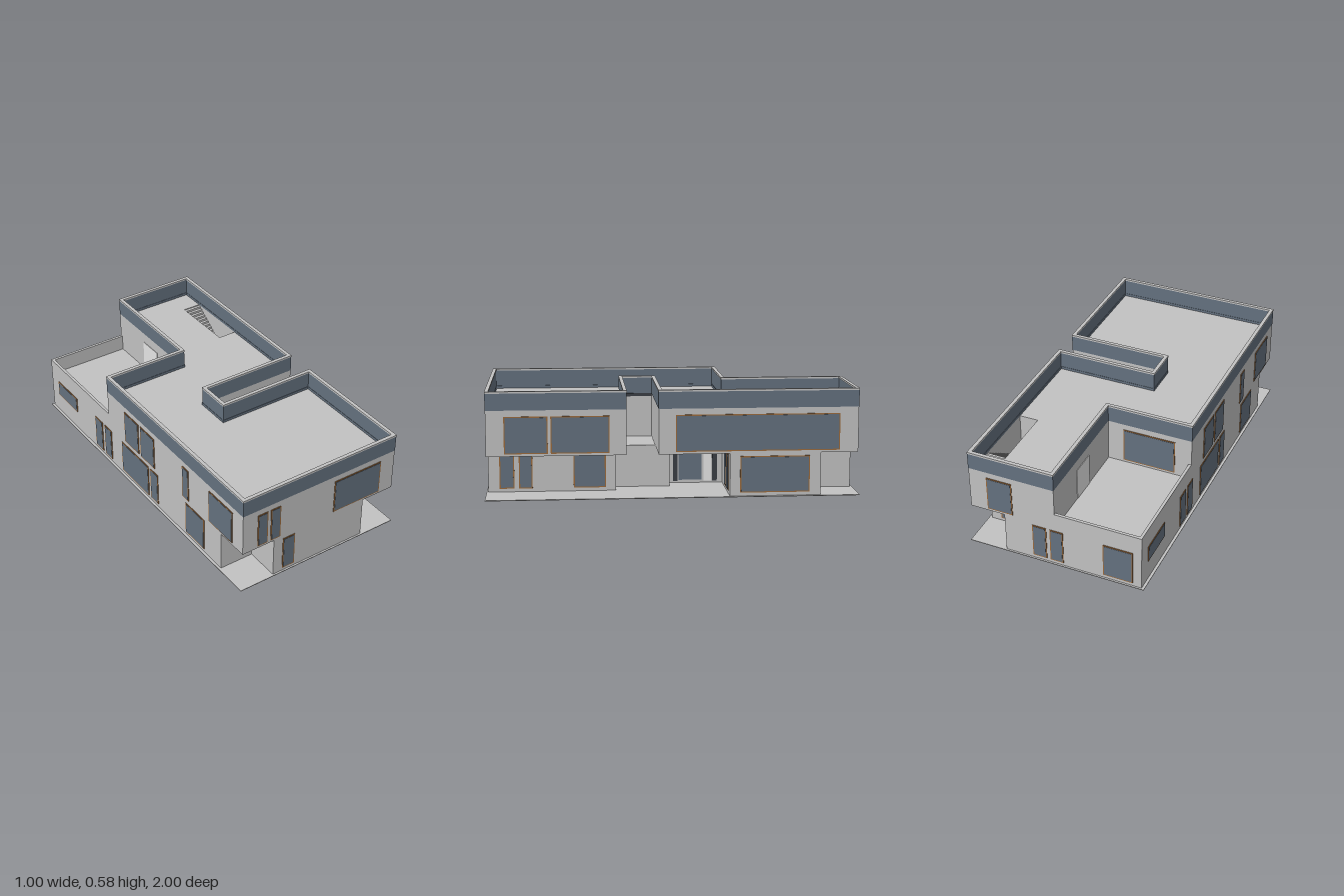
import * as THREE from 'three';

const mat = (name, color) => {
  const m = new THREE.MeshStandardMaterial({ color });
  m.name = name;
  return m;
};

export function createModel() {
  const wall = mat('wallGrey', 0xc2c2c2);
  const slate = mat('slateBlue', 0x64717f);
  const wood = mat('frameBrown', 0x9a6a3c);
  const dark = mat('darkGrey', 0x3a3e44);
  const pale = mat('paleGrey', 0xe6e6e6);

  const house = new THREE.Group();
  house.name = 'house';

  const add = (name, geometry, material) => {
    const mesh = new THREE.Mesh(geometry, material);
    mesh.name = name;
    house.add(mesh);
    return mesh;
  };

  // Box given by its limits on each axis
  const box = (name, material, x0, x1, y0, y1, z0, z1) =>
    add(name, new THREE.BoxGeometry(x1 - x0, y1 - y0, z1 - z0), material)
      .position.set((x0 + x1) / 2, (y0 + y1) / 2, (z0 + z1) / 2);

  // Vertical prism over a plan of [x, z] corners, with optional holes
  const toPoints = (plan) => plan.map(([x, z]) => new THREE.Vector2(x, -z));
  const prism = (name, material, plan, y0, y1, holes = []) => {
    const shape = new THREE.Shape(toPoints(plan));
    holes.forEach((h) => shape.holes.push(new THREE.Path(toPoints(h))));
    const g = new THREE.ExtrudeGeometry(shape, { depth: y1 - y0, bevelEnabled: false });
    g.rotateX(-Math.PI / 2).translate(0, y0, 0);
    return add(name, g, material);
  };

  // Moves every edge of a right-angled plan inwards by d
  const inset = (plan, d) => plan.map((p, i) => {
    const n = plan.length;
    const a = plan[(i + n - 1) % n], b = plan[(i + 1) % n];
    const dir = (s, e) => [Math.sign(e[0] - s[0]), Math.sign(e[1] - s[1])];
    const u = dir(a, p), v = dir(p, b);
    return [p[0] + d * (u[1] + v[1]), p[1] - d * (u[0] + v[0])];
  });

  // Ground plate
  box('groundPlate', wall, -0.5, 0.5, 0, 0.004, -1, 1);

  // Ground floor, cut back at three corners and at the entrance
  const lower = [
    [-0.29, 0.99], [0.29, 0.99], [0.29, 0.3], [0.2, 0.3], [0.2, 0], [0.12, 0],
    [0.12, -0.3], [0.485, -0.3], [0.485, -0.79], [0.29, -0.79], [0.29, -0.99],
    [-0.485, -0.99], [-0.485, 0.8], [-0.29, 0.8],
  ];
  prism('groundFloor', wall, lower, 0.004, 0.235);

  // Upper floor with a side notch and a stairwell opening in the roof
  const upper = [
    [-0.485, 0.99], [0.485, 0.99], [0.485, 0.25], [-0.09, 0.25], [-0.09, 0.08],
    [0.485, 0.08], [0.485, -0.99], [0, -0.99], [0, -0.32], [-0.485, -0.32],
  ];
  const well = [[0.36, -0.45], [0.468, -0.45], [0.468, -0.83], [0.36, -0.83]];
  const roofY = 0.465;
  prism('upperFloor', wall, upper, 0.235, roofY, [well]);

  // Parapet: wall base, slate band and coping
  const inner = inset(upper, 0.016);
  prism('parapetBase', wall, upper, roofY, 0.48, [inner]);
  prism('parapetBand', slate, inset(upper, -0.001), 0.48, 0.57, [inner]);
  prism('parapetInnerFoot', slate, inner, roofY, 0.48, [inset(inner, 0.002)]);
  prism('parapetCoping', wall, inset(upper, -0.002), 0.57, 0.58, [inset(upper, 0.018)]);
  box('notchTrim', dark, -0.09, -0.085, 0.465, 0.482, 0.082, 0.248);

  // Stair flight inside the roof opening
  box('stairLanding', wall, 0.36, 0.468, 0.235, 0.24, -0.83, -0.45);
  const steps = 18;
  for (let i = 0; i < steps; i++) {
    const z1 = -0.52 - (0.31 * i) / steps;
    box('stairStep', wall, 0.365, 0.466, 0.24, 0.245 + (0.215 * (i + 1)) / steps, z1 - 0.31 / steps, z1);
  }

  // Terrace parapet
  box('terraceParapetBack', wall, -0.485, 0, 0.235, 0.327, -0.99, -0.974);
  box('terraceParapetSide', wall, -0.485, -0.469, 0.235, 0.327, -0.974, -0.32);

  // Thin plate on a wall; side is the direction the wall faces
  const plate = (name, material, side, at, a0, a1, y0, y1, t) => {
    const s = side[0] === '+' ? 1 : -1;
    const lo = Math.min(at, at + s * t), hi = Math.max(at, at + s * t);
    if (side[1] === 'x') box(name, material, lo, hi, y0, y1, a0, a1);
    else box(name, material, a0, a1, y0, y1, lo, hi);
  };
  const windowAt = (side, at, a0, a1, y0, y1) => {
    const f = 0.006;
    plate('windowFrame', wood, side, at, a0, a1, y0, y1, 0.003);
    plate('windowGlass', slate, side, at, a0 + f, a1 - f, y0 + f, y1 - f, 0.0045);
  };
  const LOW = [0.022, 0.22], HIGH = [0.248, 0.447];
  [
    // Front
    ['+z', 0.99, -0.395, -0.333, HIGH], ['+z', 0.99, -0.314, -0.253, HIGH],
    ['+z', 0.99, 0.09, 0.394, HIGH], ['+z', 0.99, -0.233, -0.157, LOW],
    ['+z', -0.3, 0.25, 0.327, LOW], ['+z', -0.3, 0.35, 0.425, LOW],
    // Left side, +x
    ['+x', 0.485, 0.665, 0.895, HIGH], ['+x', 0.485, 0.34, 0.65, HIGH],
    ['+x', 0.485, -0.89, -0.01, HIGH], ['+x', 0.485, -0.73, -0.355, LOW],
    ['+x', 0.29, 0.85, 0.93, LOW], ['+x', 0.29, 0.752, 0.825, LOW], ['+x', 0.29, 0.355, 0.53, LOW],
    // Right side, -x
    ['-x', -0.485, -0.91, -0.69, [0.12, 0.215]], ['-x', -0.485, -0.475, -0.395, LOW],
    ['-x', -0.485, -0.37, -0.295, LOW], ['-x', -0.485, -0.18, 0.1, LOW],
    ['-x', -0.485, 0.12, 0.195, LOW], ['-x', -0.485, 0.47, 0.645, LOW],
    ['-x', -0.485, -0.14, 0.005, HIGH], ['-x', -0.485, 0.025, 0.165, HIGH],
    ['-x', -0.485, 0.44, 0.5, HIGH], ['-x', -0.485, 0.69, 0.9, HIGH],
    // Back
    ['-z', -0.99, -0.436, -0.27, LOW], ['-z', -0.99, -0.045, 0.03, LOW],
    ['-z', -0.99, 0.05, 0.13, LOW], ['-z', -0.99, 0.24, 0.385, HIGH],
    ['-z', -0.79, 0.35, 0.425, LOW], ['-z', -0.32, -0.39, -0.09, HIGH],
  ].forEach(([side, at, a0, a1, [y0, y1]]) => windowAt(side, at, a0, a1, y0, y1));

  // Terrace doorway
  plate('terraceDoorway', pale, '-x', 0, -0.72, -0.57, 0.236, 0.42, 0.003);

  // Entrance: surround, side lights, glazed door and transom
  plate('entranceSurround', wall, '+x', 0.12, -0.275, -0.02, 0.008, 0.183, 0.008);
  plate('entranceSideLight', dark, '+x', 0.128, -0.05, -0.024, 0.015, 0.176, 0.002);
  plate('entranceSideLight', dark, '+x', 0.128, -0.27, -0.244, 0.015, 0.176, 0.002);
  plate('entranceGlass', slate, '+x', 0.128, -0.185, -0.055, 0.022, 0.18, 0.002);
  plate('entranceDoor', pale, '+x', 0.128, -0.238, -0.195, 0.015, 0.18, 0.002);
  plate('entranceTransom', wood, '+x', 0.12, -0.245, -0.05, 0.186, 0.226, 0.003);
  plate('entranceTransomGlass', slate, '+x', 0.12, -0.239, -0.056, 0.192, 0.22, 0.0045);

  // Downlights under the entrance overhang
  for (const x of [0.25, 0.4]) {
    for (const z of [-0.24, -0.15, -0.06, 0.03]) {
      add('downlight', new THREE.CylinderGeometry(0.008, 0.008, 0.004, 12), dark).position.set(x, 0.234, z);
    }
  }
  return house;
}
